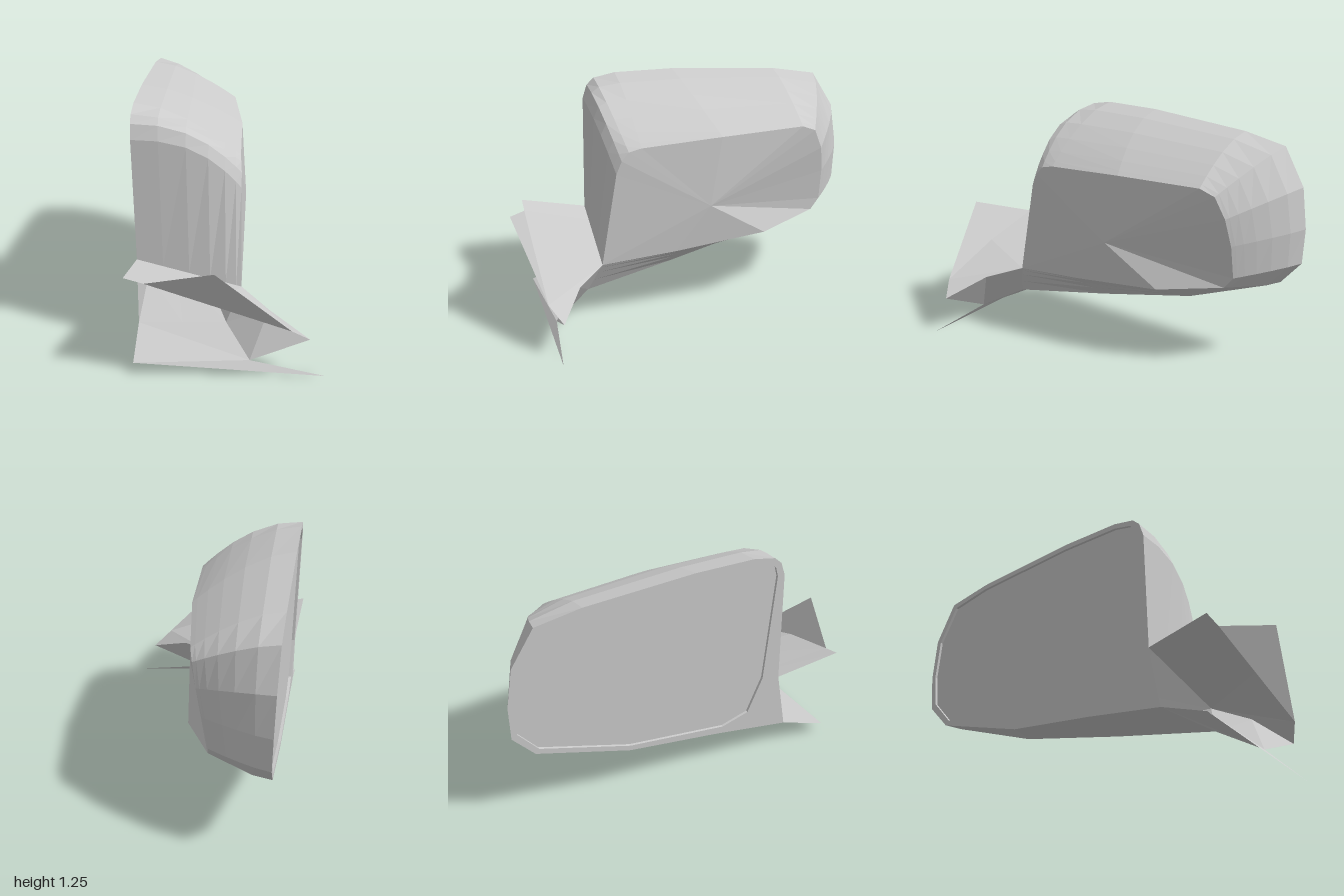
import * as THREE from 'three';

const grey = new THREE.MeshStandardMaterial({ color: 0xcccccc, flatShading: true, side: THREE.DoubleSide });
const V = (x, y, z) => new THREE.Vector3(x, y, z);

// mesh from a list of triangle corners
function facets(name, pts) {
  const g = new THREE.BufferGeometry().setFromPoints(pts);
  g.computeVertexNormals();
  const m = new THREE.Mesh(g, grey);
  m.name = name;
  return m;
}

// strips between successive rings; closed joins the last point to the first
function loft(rings, closed) {
  const out = [];
  for (let i = 0; i + 1 < rings.length; i++) {
    const a = rings[i], b = rings[i + 1], n = a.length;
    for (let j = 0; j < (closed ? n : n - 1); j++) {
      const k = (j + 1) % n;
      out.push(a[j], b[j], b[k], a[j], b[k], a[k]);
    }
  }
  return out;
}

function fan(center, ring, flip) {
  return ring.flatMap((p, j) => {
    const q = ring[(j + 1) % ring.length];
    return flip ? [center, q, p] : [center, p, q];
  });
}

// glass side leans slightly with height
const leanX = y => -0.5 + 0.025 * (1.25 - y);

// inner outline [z, y], from front edge over the top and back underneath
const inner = [[.53, .48], [.515, 1.12], [.49, 1.195], [.45, 1.232], [.33, 1.255], [0, 1.255], [-.6, 1.215],
  [-.85, 1.17], [-.97, .97], [-1, .75], [-.99, .56], [-.87, .43], [-.35, .275], [.15, .215], [.59, .15]];
// outer outline [x, y, z] with matching points
const outer = [[.055, .34, .53], [.05, .85, .44], [.05, .92, .41], [.045, .965, .37], [.04, .98, .3], [.025, 1, -.15],
  [-.04, 1, -.63], [-.06, .965, -.71], [-.085, .85, -.76], [-.12, .7, -.78], [-.15, .52, -.78], [-.14, .46, -.73],
  [.01, .415, -.4], [.045, .37, .12], [.055, .34, .53]];
// how late each line curves inwards, front edge to back
const bend = [1, 2.8, 2.5, 2, 1.7, 1.6, 1.6, 1.4, 1.3, 1.3, 1.3];
// sharp lower edge where the underside meets the outer side
const keel = { 11: V(-.38, .435, -.85), 12: V(-.31, .285, -.4), 13: V(-.17, .22, .1), 14: V(-.02, .17, .6) };
// glass outline [z, y] with a rounded lower front corner
const glass = [[.43, .5], [.475, 1.12], [.46, 1.175], [.43, 1.207], [.33, 1.228], [0, 1.228], [-.6, 1.19],
  [-.83, 1.145], [-.945, .96], [-.975, .75], [-.96, .58], [-.85, .455], [-.35, .305], [.2, .25], [.35, .3]];

export function createModel() {
  const group = new THREE.Group();
  group.name = 'sideMirror';

  // housing shell, open below the front face where the neck joins
  const rings = [0, .25, .5, .7, .85, .95, 1].map(t => inner.map(([z, y], j) => {
    const a = V(leanX(y), y, z), b = V(...outer[j]);
    if (keel[j]) return t <= .5 ? a.lerp(keel[j], t * 2) : keel[j].clone().lerp(b, t * 2 - 1);
    const f = t ** bend[j];
    return V(a.x + (b.x - a.x) * t, y + (b.y - y) * f, z + (b.z - z) * f);
  }));
  const cover = rings[rings.length - 1];
  group.add(facets('housingShell', loft(rings, false)));
  group.add(facets('housingCover', fan(V(.05, .62, -.08), cover)));

  // rim and recessed glass
  const lip = glass.map(([z, y]) => V(leanX(y), y, z));
  const seat = lip.map(p => p.clone().add(V(.015, 0, 0)));
  group.add(facets('glassRim', loft([seat, lip, rings[0]], true)));
  group.add(facets('mirrorGlass', fan(V(leanX(.75) + .015, .75, -.2), seat, true)));

  // neck: top plate, outer wall and floor, open at the front and inner side
  const H = V(.41, .19, .8), G = V(.32, .268, .865), F = V(-.4, .517, .885), N = V(.2, .29, .68);
  const K = V(.11, .065, .8), J = V(-.47, .06, .85), M = rings[2][14], L = rings[0][14];
  const corner = cover[0];
  const topFront = [V(-.5, .545, .885), F, V(-.05, .415, .88), G, H];
  const topBack = [rings[0][0], rings[1][0], rings[4][0], corner, N];
  group.add(facets('neckTop', loft([topFront, topBack], false)));
  group.add(facets('neckWall', [corner, N, M, N, H, K, N, K, M]));
  group.add(facets('neckFloor', [L, M, K, L, K, J]));

  // pointed mounting flaps
  group.add(facets('upperFlap', [F, G, V(-.05, .63, 1)]));
  group.add(facets('lowerFlap', [J, K, V(.49, 0, .825)]));
  return group;
}
